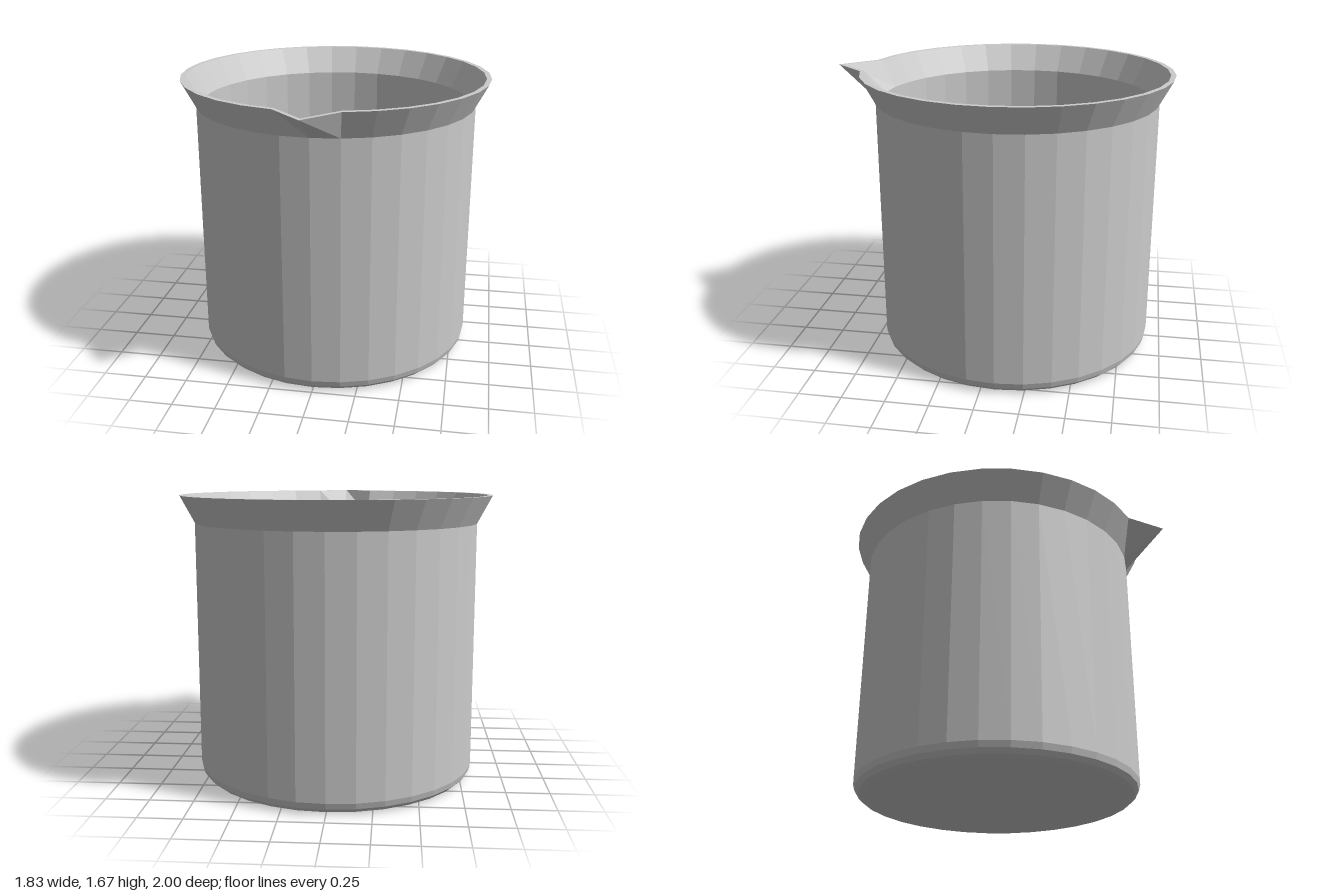
import * as THREE from 'three';

const TOP = 1.67;      // rim height
const CENTRE_Z = -0.085; // vessel axis, set back to leave room for the spout

export function createModel() {
  const group = new THREE.Group();
  group.name = 'beaker';

  // closed wall profile: under the base, up the outside, over the rim, down the inside
  const profile = [
    [0, 0], [0.76, 0], [0.795, 0.01], [0.82, 0.035], [0.83, 0.07],
    [0.83, 1.51], [0.915, TOP],
    [0.885, TOP], [0.8, 1.51],
    [0.8, 0.08], [0.795, 0.05], [0.78, 0.03], [0, 0.03],
  ].map(([r, y]) => new THREE.Vector2(r, y));
  const geometry = new THREE.LatheGeometry(profile, 32);

  // pull the front rim corner forward into a pointed pouring spout
  const pos = geometry.attributes.position;
  for (let i = 0; i < pos.count; i++) {
    const z = pos.getZ(i);
    if (Math.abs(pos.getX(i)) < 0.01 && z > 0.5 && pos.getY(i) > TOP - 0.01) {
      pos.setZ(i, (z > 0.9 ? 1.0 : 0.965) - CENTRE_Z);
    }
  }
  geometry.translate(0, 0, CENTRE_Z);
  geometry.computeVertexNormals();

  const material = new THREE.MeshStandardMaterial({ color: 0xcccccc, flatShading: true });
  const vessel = new THREE.Mesh(geometry, material);
  vessel.name = 'vesselWithSpout';
  group.add(vessel);
  return group;
}
